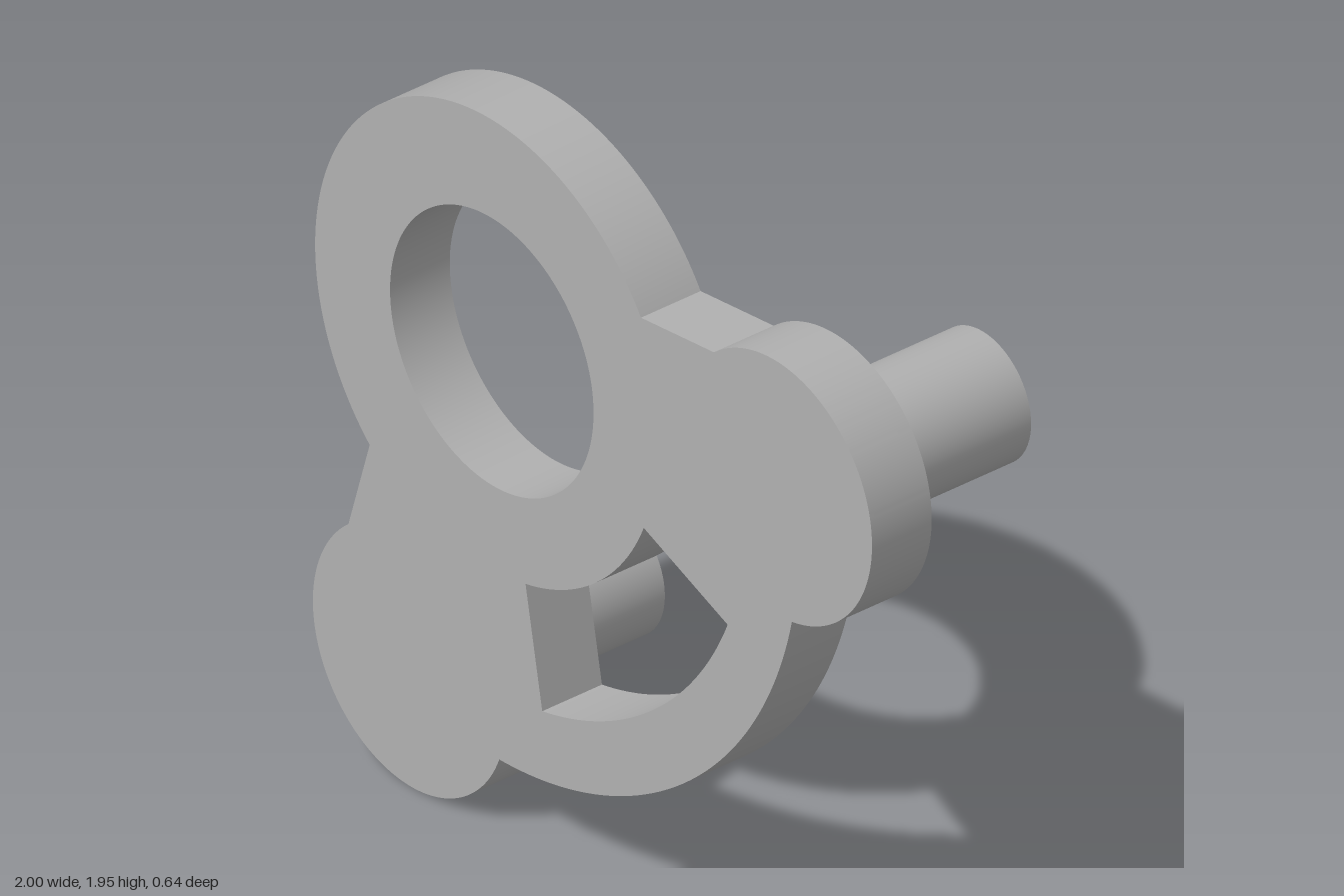
import * as THREE from 'three';
import { toCreasedNormals } from 'three/addons/utils/BufferGeometryUtils.js';

const hub = { x: -0.36, y: 1.32 };
const lobes = [{ x: -0.655, y: 0.345 }, { x: 0.655, y: 1.42 }];
const lobeRadius = 0.345;
const plateBack = 0.135, plateFront = 0.318, pinEnd = -0.318;

// Arc about a centre, running between the directions of two points
function arcBetween(path, c, r, from, to, clockwise = false) {
  const angle = ([x, y]) => Math.atan2(y - c.y, x - c.x);
  path.absarc(c.x, c.y, r, angle(from), angle(to), clockwise);
}

export function createModel() {
  const model = new THREE.Group();
  const grey = new THREE.MeshStandardMaterial({ color: 0xb0b0b0 });
  grey.name = 'plain grey';

  // Plate outline: ring, lower lobe, outer sweep, upper lobe
  const outline = new THREE.Shape();
  arcBetween(outline, hub, 0.632, [0.175, 1.66], [-0.8, 0.86]);
  arcBetween(outline, lobes[0], lobeRadius, [-0.875, 0.615], [-0.335, 0.22]);
  arcBetween(outline, hub, 1.1, [-0.335, 0.22], [0.715, 1.08]);
  arcBetween(outline, lobes[1], lobeRadius, [0.715, 1.08], [0.435, 1.685]);
  outline.closePath();

  // Round bore
  const bore = new THREE.Path();
  bore.absarc(hub.x, hub.y, 0.364, 0, Math.PI * 2, true);

  // Curved slot
  const slot = new THREE.Path();
  arcBetween(slot, hub, 0.915, [-0.18, 0.425], [0.485, 0.965]);
  arcBetween(slot, hub, 0.59, [0.185, 1.09], [-0.24, 0.745], true);
  slot.closePath();
  outline.holes.push(bore, slot);

  const plateGeometry = new THREE.ExtrudeGeometry(outline, {
    depth: plateFront - plateBack, bevelEnabled: false, curveSegments: 64,
  });
  const plate = new THREE.Mesh(toCreasedNormals(plateGeometry, 0.3), grey);
  plate.name = 'plate';
  plate.position.z = plateBack;
  model.add(plate);

  // Pins behind the lobes
  const length = plateBack - pinEnd;
  const pinGeometry = new THREE.CylinderGeometry(0.172, 0.172, length, 64).rotateX(Math.PI / 2);
  lobes.forEach((lobe, i) => {
    const pin = new THREE.Mesh(pinGeometry, grey);
    pin.name = i === 0 ? 'lowerPin' : 'upperPin';
    pin.position.set(lobe.x, lobe.y, pinEnd + length / 2);
    model.add(pin);
  });
  return model;
}
